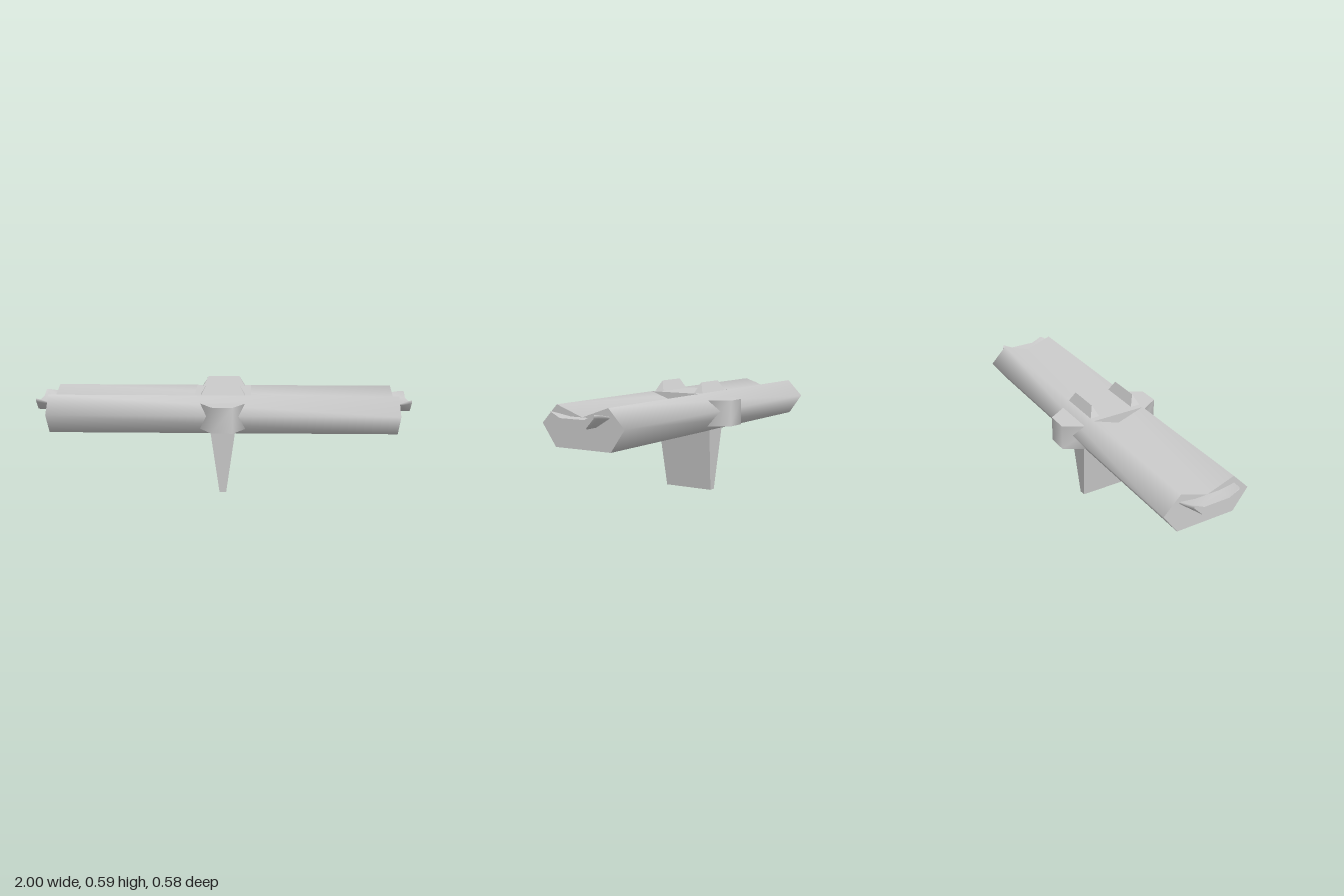
import * as THREE from 'three';

// Loft closed counter-clockwise 2D sections [height, points] along local z, with hard-edged caps
function loft(sections, smooth) {
  const pos = [], idx = [], n = sections[0][1].length;
  const addRing = ([h, pts]) => {
    const start = pos.length / 3;
    pts.forEach(([a, b]) => pos.push(a, b, h));
    return start;
  };
  const starts = sections.map(addRing);
  for (let k = 0; k < starts.length - 1; k++) {
    for (let i = 0; i < n; i++) {
      const j = (i + 1) % n, s = starts[k], t = starts[k + 1];
      idx.push(s + i, s + j, t + j, s + i, t + j, t + i);
    }
  }
  [sections[0], sections[sections.length - 1]].forEach((section, end) => {
    const s = addRing(section);
    const outline = section[1].map(([a, b]) => new THREE.Vector2(a, b));
    for (const [a, b, c] of THREE.ShapeUtils.triangulateShape(outline, [])) {
      if (end) idx.push(s + a, s + b, s + c);
      else idx.push(s + a, s + c, s + b);
    }
  });
  let geo = new THREE.BufferGeometry();
  geo.setAttribute('position', new THREE.Float32BufferAttribute(pos, 3));
  geo.setIndex(idx);
  if (!smooth) geo = geo.toNonIndexed();
  geo.computeVertexNormals();
  return geo;
}

const rect = (w, d) => [[-w, -d], [w, -d], [w, d], [-w, d]];

// Mirror the right half of an outline (listed bottom to top) to a closed loop
const mirrored = (half) => [...half, ...half.slice().reverse().map(([a, b]) => [-a, b])];

export function createModel() {
  const model = new THREE.Group();
  const grey = new THREE.MeshStandardMaterial({ color: 0xcccccc });
  const add = (name, geo) => {
    const mesh = new THREE.Mesh(geo, grey);
    mesh.name = name;
    model.add(mesh);
    return mesh;
  };

  // Long hexagonal body with a shallow valley along its top
  const profile = [[0, 0.485], [-0.15, 0.537], [-0.24, 0.445], [-0.161, 0.335],
    [0.161, 0.335], [0.24, 0.445], [0.15, 0.537]];
  add('body', loft([[-0.927, profile], [0.927, profile]], true).rotateY(Math.PI / 2));

  // Block that fills the valley at the middle
  const wedge = [[0, 0.484], [0.149, 0.537], [-0.149, 0.537]];
  add('centreBlock', loft([[-0.15, wedge], [0.15, wedge]], false).rotateY(Math.PI / 2));

  // Tapered fin below
  add('fin', loft([[0, rect(0.018, 0.142)], [0.337, rect(0.065, 0.162)]], false).rotateX(-Math.PI / 2));

  // Upturned lips at both ends
  const lip = [
    [0.925, mirrored([[0.08, 0.443], [0.156, 0.488], [0.156, 0.498], [0.07, 0.485]])],
    [0.985, mirrored([[0.08, 0.443], [0.138, 0.494], [0.138, 0.511], [0.07, 0.485]])],
    [1, mirrored([[0.078, 0.445], [0.125, 0.495], [0.127, 0.512], [0.07, 0.485]])],
  ];
  for (const side of [1, -1]) {
    add(side > 0 ? 'leftLip' : 'rightLip', loft(lip, true).rotateY(side * Math.PI / 2));
  }

  // Ridges on top and tapered clips on the front and back
  for (const side of [1, -1]) {
    const where = side > 0 ? 'front' : 'back';
    const ridge = loft([[0.53, rect(0.121, 0.029)], [0.592, rect(0.086, 0.0005)]], false);
    add(where + 'Ridge', ridge.rotateX(-Math.PI / 2)).position.z = side * 0.124;

    const trapezoid = [[-0.145, -0.14], [-0.055, -0.288], [0.055, -0.288], [0.145, -0.14]];
    const clip = loft([[0.364, trapezoid], [0.501, trapezoid]], true).rotateX(-Math.PI / 2);
    if (side < 0) clip.rotateY(Math.PI);
    add(where + 'Clip', clip);
  }
  return model;
}
